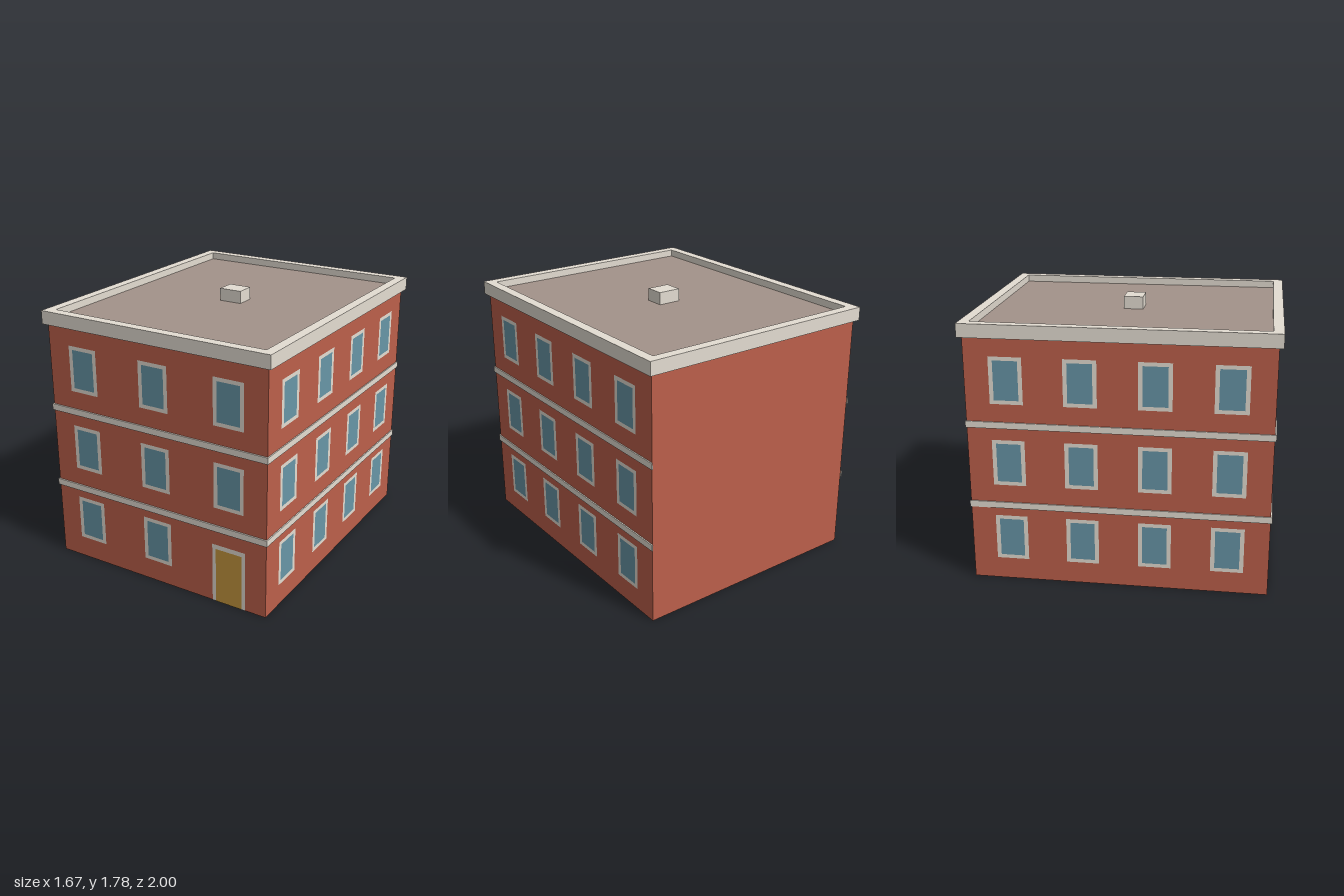
import * as THREE from 'three';

const mat = (name, color) => {
  const m = new THREE.MeshStandardMaterial({ color, side: THREE.DoubleSide });
  m.name = name;
  return m;
};

export function createModel() {
  const brick = mat('brick red', 0xbc604b);
  const stone = mat('pale stone', 0xe4ddd2);
  const glass = mat('blue glass', 0x6896a7);
  const wood = mat('ochre door', 0xc7983f);
  const roofing = mat('roof grey brown', 0xa3938a);

  const W = 0.81, D = 0.974;         // wall half width and half depth
  const eaveY = 1.657, deckY = 1.698, top = 1.746;
  const skin = 0.002;                // how far windows and door stand off the wall
  const model = new THREE.Group();
  model.name = 'apartmentBuilding';

  const add = (parent, name, geometry, material) => {
    const mesh = new THREE.Mesh(geometry, material);
    mesh.name = name;
    parent.add(mesh);
    return mesh;
  };

  // Box given by its lower and upper corners, open below and, if wanted, above
  const shell = (name, material, [x0, y0, z0], [x1, y1, z1], openTop = false) => {
    const g = new THREE.BoxGeometry(x1 - x0, y1 - y0, z1 - z0);
    const index = Array.from(g.index.array); // six entries per side: +x -x +y -y +z -z
    index.splice(openTop ? 12 : 18, openTop ? 12 : 6);
    g.setIndex(index);
    g.clearGroups();
    g.translate((x0 + x1) / 2, (y0 + y1) / 2, (z0 + z1) / 2);
    return add(model, name, g, material);
  };

  const rect = (Type, x0, y0, x1, y1) => {
    const p = new Type();
    p.moveTo(x0, y0);
    p.lineTo(x1, y0);
    p.lineTo(x1, y1);
    p.lineTo(x0, y1);
    p.closePath();
    return p;
  };

  // Rectangular outline with a rectangular opening
  const ring = (outer, inner) => {
    const shape = rect(THREE.Shape, ...outer);
    shape.holes.push(rect(THREE.Path, ...inner));
    return shape;
  };

  // Flat face in the xy plane, facing +z
  const face = (parent, name, shape, material) =>
    add(parent, name, new THREE.ShapeGeometry(shape), material);

  // Flat face laid level at height y, facing up
  const level = (name, shape, y, material) => {
    const mesh = face(model, name, shape, material);
    mesh.rotation.x = -Math.PI / 2;
    mesh.position.y = y;
  };

  // Brick walls, open at the ground, and the roof deck
  shell('walls', brick, [-W, 0, -D], [W, deckY, D], true);
  level('roofDeck', rect(THREE.Shape, -W, -D, W, D), deckY, roofing);

  // Raised roof edge: outer band, inner band and coping
  const [ox, oz, ix, iz] = [0.837, 1, 0.771, 0.934];
  shell('parapetOuter', stone, [-ox, eaveY, -oz], [ox, top, oz], true);
  shell('parapetInner', stone, [-ix, deckY, -iz], [ix, top, iz], true);
  level('parapetCoping', ring([-ox, -oz, ox, oz], [-ix, -iz, ix, iz]), top, stone);
  shell('roofHatch', stone, [-0.079, deckY, -0.065], [0.079, 1.782, 0.065]);

  // Stone courses between the storeys, on the front and both sides
  for (const y of [0.512, 1.064]) {
    shell('frontCourse', stone, [-0.818, y, D], [0.818, y + 0.043, 0.984]);
    shell('leftCourse', stone, [W, y, -0.981], [0.818, y + 0.043, 0.981]);
    shell('rightCourse', stone, [-0.818, y, -0.981], [-W, y + 0.043, 0.981]);
  }

  // Framed window centred on its own origin, facing +z
  const paneRect = [-0.08, -0.13, 0.08, 0.13];
  const frameShape = ring([-0.107, -0.155, 0.107, 0.155], paneRect);
  const paneShape = rect(THREE.Shape, ...paneRect);
  const addWindow = (x, y, z, turn) => {
    const g = new THREE.Group();
    g.name = 'window';
    face(g, 'windowFrame', frameShape, stone);
    face(g, 'windowPane', paneShape, glass);
    g.position.set(x, y, z);
    g.rotation.y = turn;
    model.add(g);
  };

  [0.303, 0.83, 1.382].forEach((y, floor) => {
    for (const x of [-0.543, 0, 0.543]) {
      if (floor === 0 && x > 0) continue; // the door stands here
      addWindow(x, y, D + skin, 0);
    }
    for (const s of [-1, 1]) {
      for (const z of [-0.707, -0.236, 0.236, 0.707]) {
        addWindow(s * (W + skin), y, z, s * Math.PI / 2);
      }
    }
  });

  // Front door with a three-sided surround
  const door = new THREE.Group();
  door.name = 'door';
  door.position.set(0.542, 0, D + skin);
  face(door, 'doorPanel', rect(THREE.Shape, -0.095, 0, 0.095, 0.384), wood);
  face(door, 'doorLintel', rect(THREE.Shape, -0.12, 0.384, 0.12, 0.415), stone);
  face(door, 'doorJambLeft', rect(THREE.Shape, 0.095, 0, 0.12, 0.384), stone);
  face(door, 'doorJambRight', rect(THREE.Shape, -0.12, 0, -0.095, 0.384), stone);
  model.add(door);

  return model;
}
